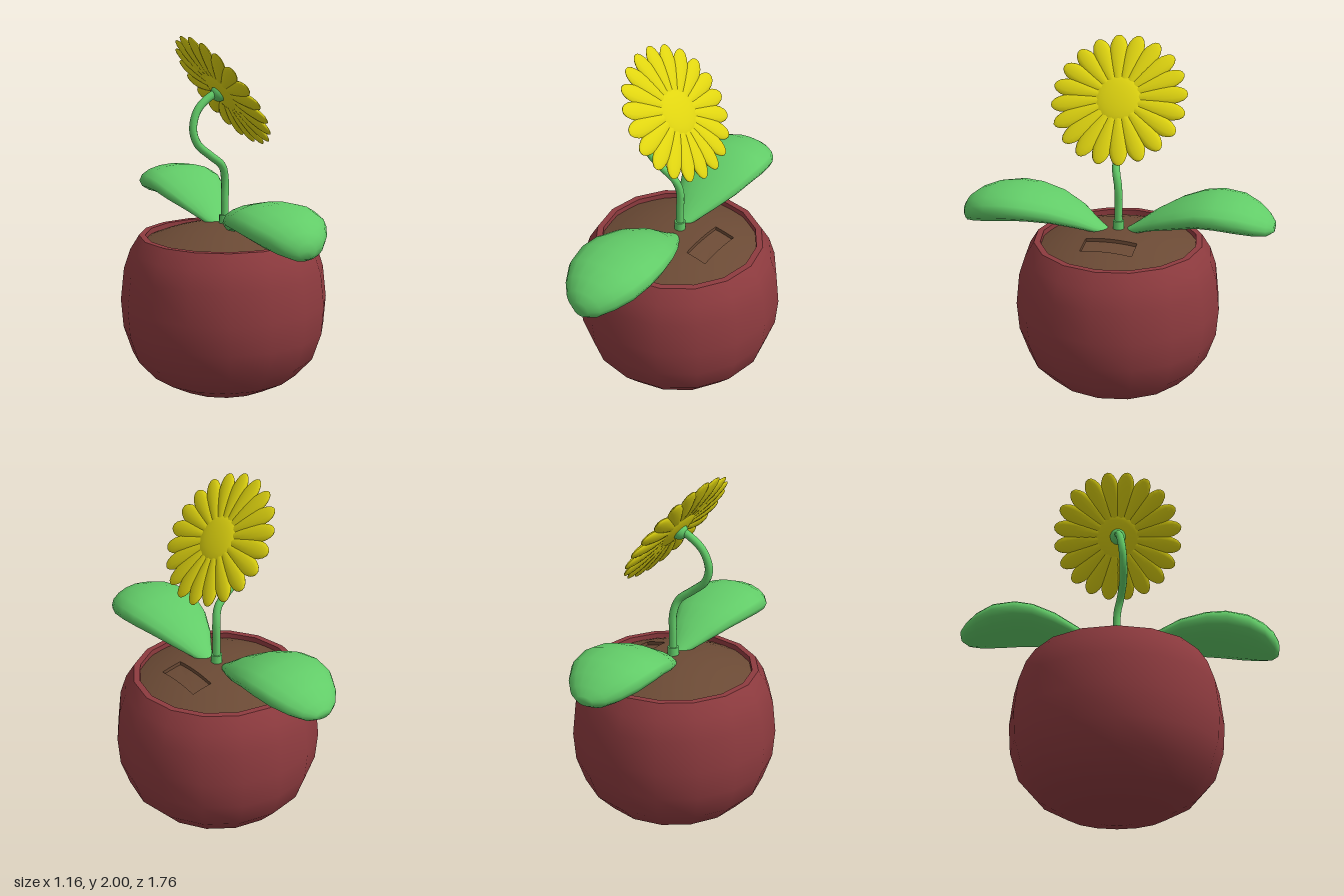
import * as THREE from 'three';
import { toCreasedNormals } from 'three/addons/utils/BufferGeometryUtils.js';

const paint = (color) => new THREE.MeshStandardMaterial({ color });
const V = (x, y, z) => new THREE.Vector3(x, y, z);

// Skin a list of closed rings that all have the same number of points
function loft(rings) {
  const n = rings[0].length;
  const index = [];
  for (let i = 0; i < rings.length - 1; i++) {
    for (let k = 0; k < n; k++) {
      const a = i * n + k, b = i * n + (k + 1) % n;
      index.push(a, a + n, b, b, a + n, b + n);
    }
  }
  const geo = new THREE.BufferGeometry().setFromPoints(rings.flat());
  geo.setIndex(index);
  geo.computeVertexNormals();
  return geo;
}

// Pillow-shaped leaf along +z from rows of [z, half width, top, bottom]
function leafGeometry(rows, sides = 16) {
  const ring = ([z, w, top, bottom]) => Array.from({ length: sides }, (_, k) => {
    const a = (k / sides) * Math.PI * 2;
    return V(w * Math.cos(a), (top + bottom) / 2 - ((top - bottom) / 2) * Math.sin(a), z);
  });
  const cap = ([z, , top, bottom]) => ring([z, 0, (top + bottom) / 2, (top + bottom) / 2]);
  return loft([cap(rows[0]), ...rows.map(ring), cap(rows[rows.length - 1])]);
}

// Domed soil with a shallow rectangular recess
function soilGeometry() {
  const perSide = 8, cx = 0.21, hx = 0.06, hz = 0.145;
  const corners = [[1, 1], [-1, 1], [-1, -1], [1, -1]];
  const slot = [], rim = [];
  for (let s = 0; s < 4; s++) {
    for (let j = 0; j < perSide; j++) {
      const f = j / perSide, [ax, az] = corners[s], [bx, bz] = corners[(s + 1) % 4];
      slot.push(V(cx + hx * (ax + (bx - ax) * f), 0, hz * (az + (bz - az) * f)));
      const a = Math.PI / 4 + (s + f) * Math.PI / 2;
      rim.push(V(0.445 * Math.cos(a), 0, 0.445 * Math.sin(a)));
    }
  }
  const dome = (p, drop = 0) => p.setY(0.965 - 0.5 * (p.x * p.x + p.z * p.z) - drop);
  const rings = [];
  for (let i = 0; i <= 6; i++) rings.push(rim.map((p, k) => dome(p.clone().lerp(slot[k], i / 6))));
  rings.push(slot.map((p) => dome(p.clone(), 0.02)));
  rings.push(slot.map(() => dome(V(cx, 0, 0), 0.02)));
  return toCreasedNormals(loft(rings), 0.6);
}

// Teardrop petal pointing along +y, narrow at the flower's centre
function petalGeometry() {
  const geo = new THREE.SphereGeometry(1, 12, 12);
  const p = geo.attributes.position;
  for (let i = 0; i < p.count; i++) {
    const y = p.getY(i), taper = 0.72 + 0.34 * y;
    p.setXYZ(i, p.getX(i) * 0.066 * taper, 0.205 + 0.17 * y, p.getZ(i) * 0.022);
  }
  geo.computeVertexNormals();
  return geo;
}

export function createModel() {
  const model = new THREE.Group();
  const green = paint(0x62cc68), yellow = paint(0xe0d510);
  const red = paint(0x8e3b3f), brown = paint(0x6b4a35);
  const add = (parent, name, geo, mat, x = 0, y = 0, z = 0) => {
    const mesh = new THREE.Mesh(geo, mat);
    mesh.name = name;
    mesh.position.set(x, y, z);
    parent.add(mesh);
    return mesh;
  };
  const lathe = (pts) => new THREE.LatheGeometry(pts.map(([r, y]) => new THREE.Vector2(r, y)), 16);
  const zc = -0.02;

  // Pot body, rim and soil
  add(model, 'pot', lathe([[0, 0], [0.11, 0.005], [0.28, 0.035], [0.42, 0.11], [0.52, 0.22], [0.57, 0.37],
    [0.582, 0.53], [0.562, 0.71], [0.525, 0.82], [0.475, 0.9]]), red, 0, 0, zc);
  add(model, 'potRim', toCreasedNormals(lathe([[0.475, 0.9], [0.44, 0.9], [0.44, 0.83]]), 0.6), red, 0, 0, zc);
  add(model, 'soil', soilGeometry(), brown, 0, 0, zc);

  // Leaves
  add(model, 'frontLeaf', leafGeometry([[0.02, 0.02, 0.95, 0.92], [0.1, 0.065, 1.0, 0.935],
    [0.2, 0.13, 1.075, 0.96], [0.33, 0.19, 1.135, 0.985], [0.47, 0.227, 1.168, 0.99], [0.58, 0.235, 1.176, 0.982],
    [0.7, 0.215, 1.16, 0.962], [0.79, 0.165, 1.125, 0.943], [0.85, 0.11, 1.08, 0.935], [0.88, 0.05, 1.035, 0.95]]),
  green, 0.015);
  const backLeaf = add(model, 'backLeaf', leafGeometry([[0.05, 0.02, 0.95, 0.92], [0.12, 0.06, 1.0, 0.94],
    [0.23, 0.13, 1.08, 0.98], [0.36, 0.19, 1.155, 1.01], [0.48, 0.222, 1.2, 1.038], [0.58, 0.231, 1.216, 1.038],
    [0.7, 0.213, 1.205, 1.025], [0.79, 0.165, 1.165, 1.012], [0.85, 0.11, 1.12, 1.01], [0.885, 0.05, 1.08, 1.03]]),
  green, -0.02);
  backLeaf.rotation.y = Math.PI;

  // Stem with its base collar
  const path = new THREE.CatmullRomCurve3([V(0.005, 0.92, zc), V(0.005, 1.08, zc), V(0.005, 1.21, -0.018),
    V(-0.02, 1.29, 0), V(-0.1, 1.355, 0.015), V(-0.175, 1.42, 0.017), V(-0.2, 1.5, 0.012),
    V(-0.17, 1.6, 0), V(-0.1, 1.665, -0.01), V(-0.03, 1.7, -0.015)]);
  add(model, 'stem', new THREE.TubeGeometry(path, 48, 0.022, 10), green);
  add(model, 'stemCollar', new THREE.CylinderGeometry(0.031, 0.033, 0.1, 12), green, 0.005, 0.96, zc);
  add(model, 'calyx', new THREE.SphereGeometry(0.047, 14, 10), green, -0.032, 1.69, -0.015);

  // Flower head, tilted up towards the model's left
  const flower = new THREE.Group();
  flower.name = 'flowerHead';
  flower.position.set(-0.012, 1.7, -0.016);
  flower.rotation.set(0, Math.PI / 2, 0.64, 'ZYX');
  model.add(flower);
  const petal = petalGeometry(), count = 20;
  for (let k = 0; k < count; k++) {
    add(flower, 'petal', petal, yellow).rotation.z = ((k + 0.5) / count) * Math.PI * 2;
  }
  const centre = new THREE.SphereGeometry(1, 24, 12);
  centre.scale(0.14, 0.14, 0.032);
  add(flower, 'flowerCentre', centre, yellow);
  return model;
}
